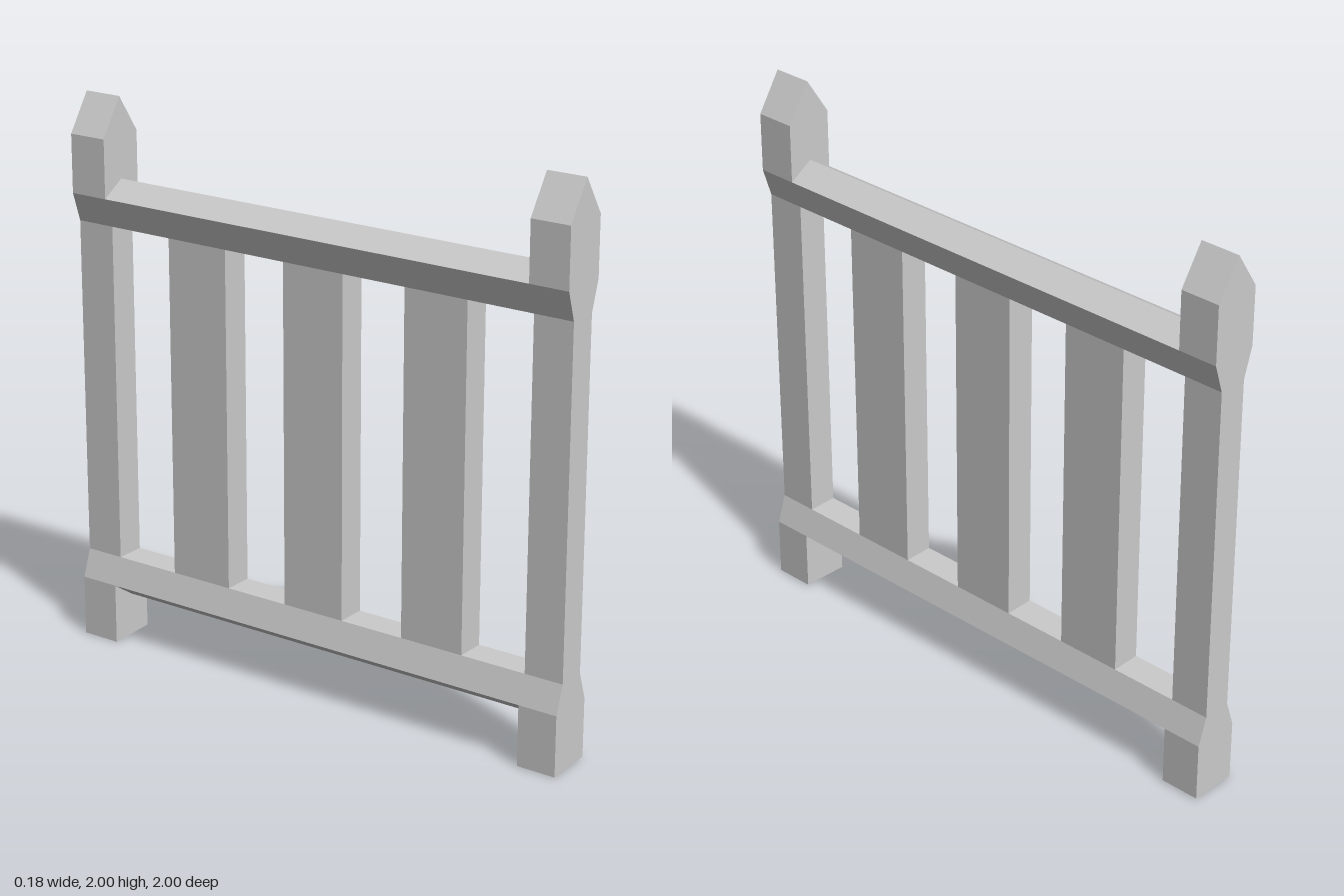
import * as THREE from 'three';

const material = new THREE.MeshStandardMaterial({ color: 0xcccccc, flatShading: true });

const WIDE = 0.088; // half thickness of the post blocks and rails
const SLIM = 0.054; // half thickness of the post shafts and slats
const POST_Z = 0.855; // inner face of each post

// Extrudes an x/y outline from z0 to z1
function prism(name, points, z0, z1) {
  const shape = new THREE.Shape(points.map(([x, y]) => new THREE.Vector2(x, y)));
  const geometry = new THREE.ExtrudeGeometry(shape, { depth: z1 - z0, bevelEnabled: false });
  geometry.translate(0, 0, z0);
  const mesh = new THREE.Mesh(geometry, material);
  mesh.name = name;
  return mesh;
}

export function createModel() {
  const group = new THREE.Group();
  group.name = 'railing';

  // End posts: wide foot, slim shaft, wide pointed head
  const post = [
    [-WIDE, 0], [WIDE, 0.006], [WIDE, 0.22], [SLIM, 0.32],
    [SLIM, 1.55], [WIDE, 1.655], [WIDE, 1.865], [0, 2],
    [-WIDE, 1.865], [-WIDE, 1.655], [-SLIM, 1.55],
    [-SLIM, 0.32], [-WIDE, 0.22],
  ];
  group.add(prism('frontPost', post, POST_Z, 1));
  group.add(prism('backPost', post, -1, -POST_Z));

  // Top rail with a ridged upper side
  group.add(prism('topRail', [
    [-SLIM, 1.55], [SLIM, 1.55], [WIDE, 1.655], [0, 1.71], [-WIDE, 1.655],
  ], -POST_Z, POST_Z));

  // Bottom rail with a ridged underside
  group.add(prism('bottomRail', [
    [0, 0.16], [WIDE, 0.22], [SLIM, 0.32], [-SLIM, 0.32], [-WIDE, 0.22],
  ], -POST_Z, POST_Z));

  // Three slats, flush with the shafts
  for (const z of [-0.485, 0, 0.487]) {
    const slat = new THREE.Mesh(new THREE.BoxGeometry(2 * SLIM, 1.23, 0.242), material);
    slat.position.set(0, 0.935, z);
    slat.name = 'slat';
    group.add(slat);
  }

  return group;
}
